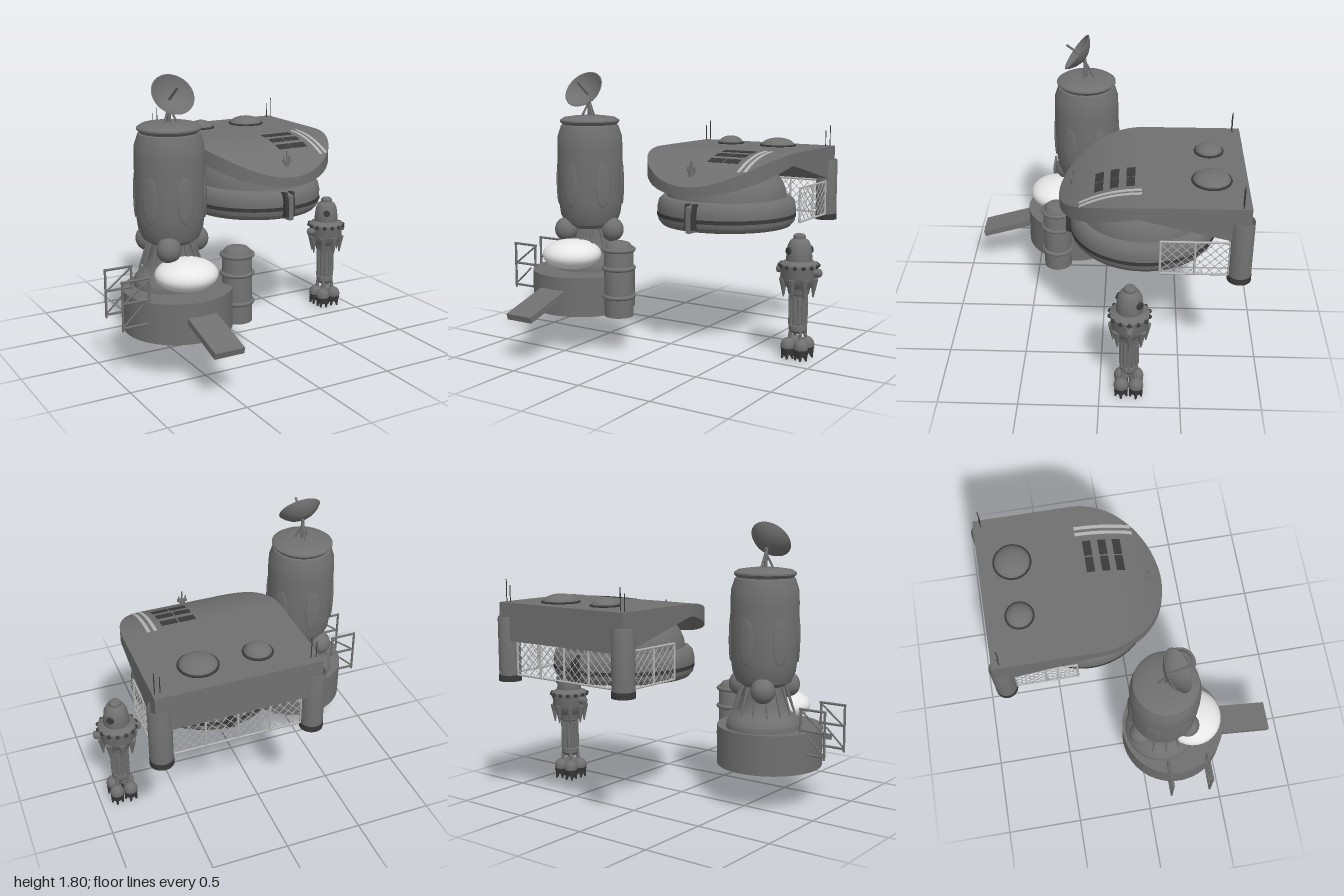
import * as THREE from 'three';
import { mergeGeometries, toCreasedNormals } from 'three/addons/utils/BufferGeometryUtils.js';

const V = (x, y, z) => new THREE.Vector3(x, y, z);
const material = (name, color) => Object.assign(new THREE.MeshStandardMaterial({ color }), { name });
const hull = material('hull grey', 0x707070);
const dark = material('dark grey', 0x3a3a3a);
const steel = material('pale steel', 0xb4b4b4);
const white = material('white', 0xffffff);

// Adds one named mesh made of one or several geometries.
function add(group, name, geos, mat = hull) {
  const list = [].concat(geos).map((g) => (g.index ? g.toNonIndexed() : g));
  const mesh = new THREE.Mesh(list.length > 1 ? mergeGeometries(list) : list[0], mat);
  mesh.name = name;
  group.add(mesh);
  return mesh;
}
const lathe = (pts, n = 48) =>
  toCreasedNormals(new THREE.LatheGeometry(pts.map(([r, y]) => new THREE.Vector2(r, y)), n), 0.55);
const box = (w, h, d, x, y, z) => new THREE.BoxGeometry(w, h, d).translate(x, y, z);
const ball = (rx, ry, rz, x, y, z) => new THREE.SphereGeometry(1, 32, 20).scale(rx, ry, rz).translate(x, y, z);
const ring = (r, t, x, y, z) => new THREE.TorusGeometry(r, t, 10, 40).rotateX(Math.PI / 2).translate(x, y, z);
// Round bar from a to b, optionally tapered.
function rod(a, b, r = 0.008, r2 = r, n = 8) {
  const d = b.clone().sub(a);
  const q = new THREE.Quaternion().setFromUnitVectors(V(0, 1, 0), d.clone().normalize());
  const mid = a.clone().add(b).multiplyScalar(0.5);
  return new THREE.CylinderGeometry(r2, r, d.length(), n).applyQuaternion(q).translate(mid.x, mid.y, mid.z);
}
const around = (n, fn, offset = 0) => Array.from({ length: n }, (_, i) => {
  const a = offset + (i / n) * Math.PI * 2;
  return fn(Math.cos(a), Math.sin(a), a);
});
// Solid through rectangular sections [xLeft, xRight, yTop, yBottom, z], z ascending.
function loft(rows) {
  const pos = [];
  const rings = rows.map(([l, r, t, b, z]) => [V(l, b, z), V(r, b, z), V(r, t, z), V(l, t, z)]);
  const quad = (a, b, c, d) => [a, b, c, a, c, d].forEach((p) => pos.push(p.x, p.y, p.z));
  for (let i = 0; i < rings.length - 1; i++) {
    for (let k = 0; k < 4; k++) {
      const m = (k + 1) % 4;
      quad(rings[i][k], rings[i][m], rings[i + 1][m], rings[i + 1][k]);
    }
  }
  const s = rings[0], e = rings[rings.length - 1];
  quad(s[0], s[3], s[2], s[1]);
  quad(e[0], e[1], e[2], e[3]);
  const g = new THREE.BufferGeometry();
  g.setAttribute('position', new THREE.Float32BufferAttribute(pos, 3));
  g.setAttribute('uv', new THREE.Float32BufferAttribute(new Array((pos.length / 3) * 2).fill(0), 2));
  return toCreasedNormals(g, 0.5);
}

function buildTower() {
  const g = new THREE.Group();
  g.name = 'tower';
  const X = -0.547, Z = 0.14;
  add(g, 'base', new THREE.CylinderGeometry(0.34, 0.34, 0.255, 64).translate(-0.545, 0.3725, 0.222));
  add(g, 'ramp', new THREE.BoxGeometry(0.193, 0.04, 0.35).rotateX(0.29).translate(X, 0.345, 0.72));
  add(g, 'frontBlister', ball(0.195, 0.098, 0.19, X, 0.613, 0.35), white);
  const t = new THREE.Group();
  t.name = 'column';
  t.position.set(X, 0, Z);
  g.add(t);
  add(t, 'skirt', lathe([[0.238, 0.5], [0.236, 0.535], [0.205, 0.58], [0.165, 0.61], [0.145, 0.66], [0.13, 0.72], [0.125, 0.8]]));
  add(t, 'body', lathe([[0, 0.765], [0.12, 0.765], [0.175, 0.8], [0.2, 0.86], [0.212, 0.95], [0.217, 1.1],
    [0.217, 1.3], [0.213, 1.38], [0.19, 1.45], [0.178, 1.455]]));
  add(t, 'cap', lathe([[0.175, 1.45], [0.197, 1.475], [0.197, 1.485], [0.17, 1.503], [0.1, 1.513], [0, 1.515]]));
  add(t, 'bodyPanels', around(6, (c, s, a) =>
    new THREE.SphereGeometry(1, 20, 14).scale(0.055, 0.15, 0.012).rotateY(a).translate(s * 0.213, 1.07, c * 0.213)));
  add(t, 'tanks', around(3, (c, s) => ball(0.076, 0.08, 0.076, c * 0.177, 0.763, s * 0.177)));
  add(t, 'skirtPipes', around(14, (c, s) => rod(V(c * 0.2, 0.595, s * 0.2), V(c * 0.14, 0.77, s * 0.14), 0.006, 0.012)));
  // Tilted dish on its stand
  add(t, 'dishStand', [rod(V(0, 1.5, 0), V(0, 1.64, 0.01), 0.012),
    ...around(3, (c, s) => rod(V(c * 0.05, 1.51, s * 0.05), V(0, 1.61, 0), 0.007), Math.PI / 6)]);
  const dish = new THREE.Group();
  dish.name = 'dish';
  dish.position.set(0, 1.687, 0.06);
  dish.rotation.x = 0.935;
  t.add(dish);
  add(dish, 'bowl', lathe([[0, -0.068], [0.045, -0.062], [0.09, -0.042], [0.12, -0.018], [0.137, 0.002],
    [0.132, 0.004], [0.115, -0.012], [0.085, -0.035], [0.04, -0.054], [0, -0.059]]));
  add(dish, 'feed', rod(V(0, -0.06, 0), V(0, 0.085, 0), 0.008));
  // Side railing
  const bars = [];
  for (const z of [0.14, 0.4]) {
    const p = (x, y) => V(x, y, z);
    bars.push(rod(p(-0.99, 0.345), p(-0.99, 0.655)), rod(p(-0.82, 0.5), p(-0.82, 0.65)),
      rod(p(-0.99, 0.51), p(-0.82, 0.64), 0.006), rod(p(-0.99, 0.37), p(-0.86, 0.49), 0.006));
    for (const y of [0.365, 0.515, 0.648]) bars.push(rod(p(-0.995, y), p(-0.81, y)));
  }
  add(g, 'railing', bars);
  // Banded barrel beside the base
  const b = new THREE.Group();
  b.name = 'barrel';
  b.position.set(-0.183, 0, 0.33);
  g.add(b);
  add(b, 'drum', lathe([[0, 0.245], [0.094, 0.245], [0.094, 0.68], [0.088, 0.7], [0.07, 0.722], [0.04, 0.732], [0, 0.734]]));
  add(b, 'hoops', [0.375, 0.56, 0.68].map((y) => ring(0.096, 0.014, 0, y, 0)));
  return g;
}

const roofTop = (z) => 1.3 - 0.195 * Math.pow(Math.max(0, (z + 0.3) / 0.57), 2.4);
const roofBottom = (z) => (z < -0.22 ? 1.22 + (z + 0.22) * 0.246 : 1.22 - 0.175 * Math.pow((z + 0.22) / 0.49, 1.3));

function buildHangar() {
  const C = 0.27, g = new THREE.Group();
  g.name = 'hangar';
  // Roof: straight sides at the back, half-round nose drooping at the front
  const rows = [-0.87, -0.6, -0.4].map((z) => [C - 0.505, C + 0.505, roofTop(z), roofBottom(z), z]);
  for (let i = 0; i <= 32; i++) {
    const a = (i / 32) * Math.PI / 2, z = -0.235 + 0.505 * Math.sin(a), w = 0.505 * Math.cos(a);
    rows.push([C - w, C + w, roofTop(z), roofBottom(z), z]);
  }
  add(g, 'roof', loft(rows));
  // Painted plates that follow the roof
  const plate = (x0, x1, z0, z1) => loft(Array.from({ length: 9 }, (_, i) => {
    const z = z0 + (z1 - z0) * i / 8;
    return [x0, x1, roofTop(z) + 0.004, roofTop(z) - 0.004, z];
  }));
  add(g, 'roofVents', [-0.2, -0.103, -0.01].flatMap((z) => [0.305, 0.418].map((x) => plate(x, x + 0.102, z, z + 0.052))), dark);
  add(g, 'roofStripes', [plate(0.562, 0.584, -0.24, 0.13), plate(0.604, 0.626, -0.24, 0.125)], steel);
  for (const [x, r] of [[0.085, 0.085], [0.45, 0.115]]) {
    add(g, 'roofDome', ball(r, 0.055, r, x, 1.3, -0.655));
    add(g, 'roofDomeRim', ring(r, 0.008, x, 1.304, -0.655), dark);
  }
  add(g, 'noseBeacon', [rod(V(C, 1.16, 0.18), V(C, 1.2, 0.18), 0.018, 0.018, 16), box(0.06, 0.014, 0.02, C, 1.196, 0.18),
    ...[-0.022, 0, 0.022].map((d) => rod(V(C + d, 1.19, 0.18), V(C + d, d ? 1.225 : 1.26, 0.18), 0.005))]);
  add(g, 'aerials', [-0.21, 0.728].flatMap((x) => [rod(V(x, 1.2, -0.82), V(x, 1.405, -0.82), 0.003),
    rod(V(x + 0.032, 1.2, -0.82), V(x + 0.032, 1.44, -0.82), 0.003)]), dark);
  // Hollow rear pillars
  for (const s of [-1, 1]) {
    const p = new THREE.Group();
    p.name = 'pillar';
    p.position.set(C + s * 0.47, 0, -0.825);
    g.add(p);
    add(p, 'pillarTube', lathe([[0.064, 1.2], [0.064, 0.81], [0.07, 0.81], [0.07, 1.2], [0.067, 1.21], [0.064, 1.2]], 32));
    add(p, 'pillarFoot', lathe([[0.063, 0.84], [0.063, 0.8], [0.072, 0.8], [0.072, 0.84], [0.063, 0.84]], 32), dark);
  }
  // Saucer body, hollow underneath
  const d = new THREE.Group();
  d.name = 'saucer';
  d.position.set(C + 0.007, 0, -0.255);
  g.add(d);
  add(d, 'saucerShell', lathe([[0, 1.2], [0.2, 1.17], [0.3, 1.08], [0.35, 0.98], [0.365, 0.97], [0.365, 0.91], [0.38, 0.9],
    [0.38, 0.835], [0.36, 0.81], [0.425, 0.81], [0.45, 0.84], [0.456, 0.88], [0.456, 0.93], [0.447, 0.97], [0.425, 0.993],
    [0.395, 0.998], [0.39, 1.04], [0.37, 1.09], [0.33, 1.15], [0.27, 1.195], [0.18, 1.225], [0, 1.24]], 72));
  add(d, 'saucerStripe', new THREE.CylinderGeometry(0.459, 0.459, 0.025, 72, 1, true).translate(0, 0.882, 0), dark);
  add(d, 'prowJaws', [-1, 1].map((s) => loft([[s * 0.028 - 0.016, s * 0.028 + 0.016, 0.99, 0.83, 0.4],
    [s * 0.026 - 0.014, s * 0.026 + 0.014, 0.99, 0.83, 0.46], [s * 0.02 - 0.01, s * 0.02 + 0.01, 0.93, 0.83, 0.485]])), dark);
  add(d, 'prowKeel', loft([[-0.02, 0.02, 1.0, 0.81, 0.38], [-0.016, 0.016, 0.97, 0.81, 0.49]]));
  add(d, 'rearLatch', [box(0.09, 0.06, 0.08, 0, 0.86, -0.32), box(0.05, 0.11, 0.05, 0, 0.9, -0.45),
    ball(0.035, 0.035, 0.035, 0, 0.955, -0.42)], dark);
  // Lattice fences: length runs along direction u
  const fence = (name, o, u, len, posts) => {
    const h = 0.222, step = 0.056, geos = [];
    const p = (a, y) => o.clone().addScaledVector(u, a).setY(0.842 + y);
    for (const y of [0, h]) geos.push(rod(p(0, y), p(len, y), 0.007));
    for (let i = 0; i <= posts; i++) geos.push(rod(p(len * i / posts, 0), p(len * i / posts, h), 0.007));
    for (let c = -h + step / 2; c < len; c += step) {
      const a = Math.max(0, c), b = Math.min(len, c + h);
      geos.push(rod(p(a, a - c), p(b, b - c), 0.0025, 0.0025, 5), rod(p(a, h - a + c), p(b, h - b + c), 0.0025, 0.0025, 5));
    }
    add(g, name, geos, steel);
  };
  for (const s of [-1, 1]) fence('sideFence', V(C + 0.005 + s * 0.485, 0, -0.76), V(0, 0, 1), 0.406, 2);
  fence('rearFence', V(C - 0.4, 0, -0.825), V(1, 0, 0), 0.8, 4);
  return g;
}

function buildRobot() {
  const g = new THREE.Group();
  g.name = 'robot';
  g.position.set(0.845, 0, -0.182);
  // Four ball feet with toothed soles
  const feet = (fn) => around(4, (c, s) => fn(c * 0.065, s * 0.065), Math.PI / 4);
  add(g, 'feet', feet((x, z) => ball(0.046, 0.052, 0.046, x, 0.083, z)));
  add(g, 'soles', feet((x, z) => new THREE.CylinderGeometry(0.046, 0.038, 0.04, 16).translate(x, 0.05, z)), dark);
  add(g, 'toes', feet((x, z) => mergeGeometries(around(5, (c, s) =>
    rod(V(x + c * 0.036, 0.0, z + s * 0.036), V(x + c * 0.03, 0.045, z + s * 0.03), 0.006, 0.014, 6)))), dark);
  add(g, 'ankles', feet((x, z) => rod(V(x * 0.9, 0.1, z * 0.9), V(x * 0.7, 0.2, z * 0.7), 0.012)));
  add(g, 'leg', lathe([[0, 0.165], [0.045, 0.165], [0.058, 0.185], [0.058, 0.215], [0.05, 0.22], [0.05, 0.41],
    [0.066, 0.42], [0.075, 0.47], [0.09, 0.5]], 32));
  add(g, 'legFlutes', around(12, (c, s) => rod(V(c * 0.053, 0.22, s * 0.053), V(c * 0.053, 0.41, s * 0.053), 0.009)));
  add(g, 'torso', lathe([[0.075, 0.46], [0.1, 0.485], [0.115, 0.53], [0.115, 0.575], [0.122, 0.595], [0.122, 0.612],
    [0.1, 0.625], [0.082, 0.635]], 32));
  add(g, 'claws', around(8, (c, s) => rod(V(c * 0.1, 0.405, s * 0.1), V(c * 0.105, 0.525, s * 0.105), 0.004, 0.026, 10)));
  add(g, 'beltStuds', around(14, (c, s) => ball(0.013, 0.013, 0.013, c * 0.122, 0.603, s * 0.122)), dark);
  add(g, 'head', lathe([[0.08, 0.625], [0.083, 0.64], [0.079, 0.69], [0.073, 0.73], [0.058, 0.76], [0.038, 0.773],
    [0.038, 0.79], [0.03, 0.8], [0, 0.803]], 32));
  add(g, 'eyes', [[-0.53, 0.85], [0.66, -0.75]].map(([x, z]) =>
    rod(V(x * 0.06, 0.697, z * 0.06), V(x * 0.088, 0.7, z * 0.088), 0.026, 0.022, 20)), dark);
  for (const s of [-1, 1]) {
    add(g, 'armThruster', [rod(V(s * 0.1, 0.565, 0), V(s * 0.14, 0.565, 0), 0.03, 0.022, 16),
      rod(V(s * 0.13, 0.565, 0), V(s * 0.146, 0.565, 0), 0.026, 0.026, 16), ball(0.014, 0.022, 0.022, s * 0.144, 0.565, 0)]);
  }
  return g;
}

export function createModel() {
  const model = new THREE.Group();
  model.name = 'outpost';
  model.add(buildTower(), buildHangar(), buildRobot());
  return model;
}
